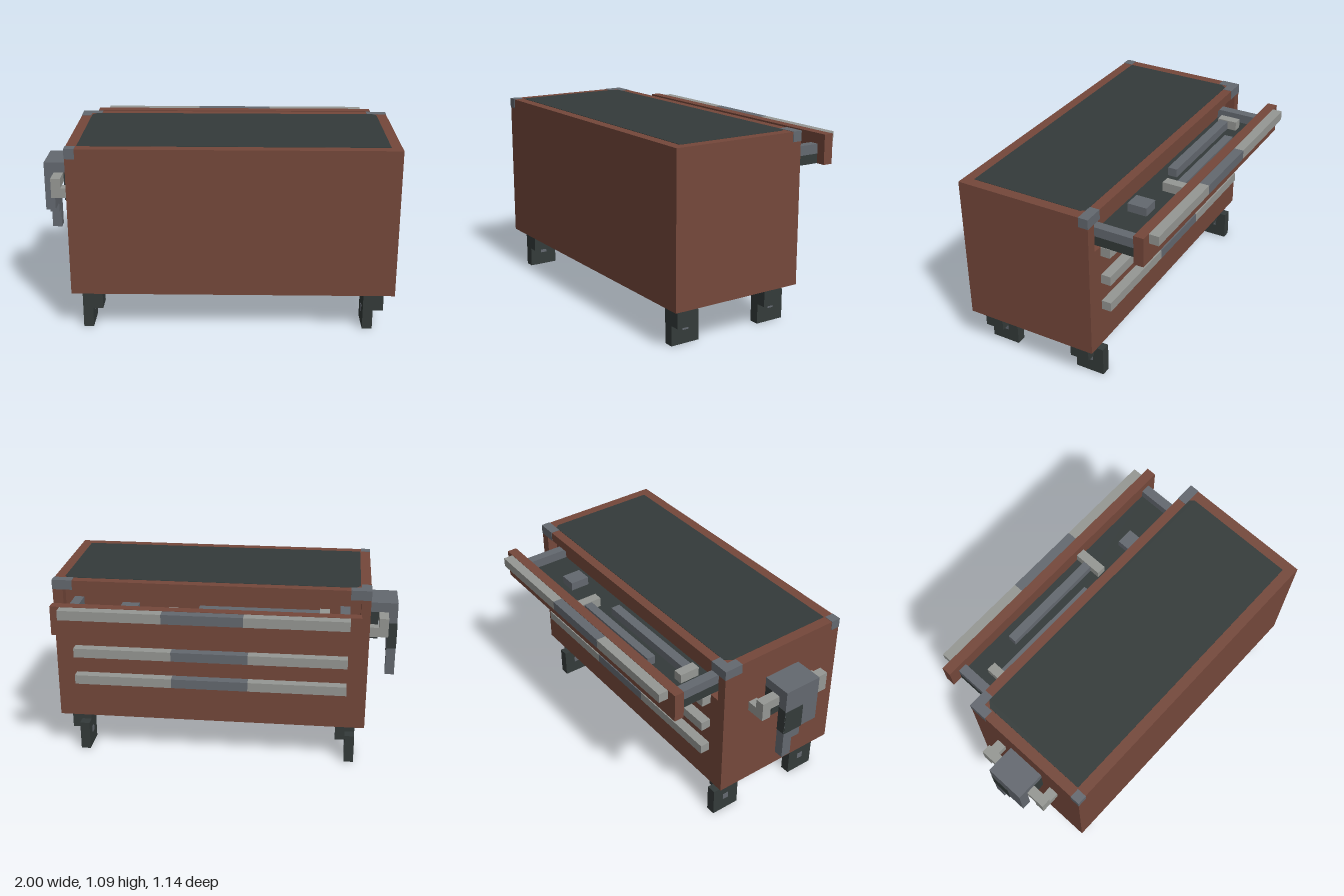
import * as THREE from 'three';

const material = (name, color) => {
  const m = new THREE.MeshStandardMaterial({ color });
  m.name = name;
  return m;
};

export function createModel() {
  const brown = material('brown paint', 0x75483b);
  const dark = material('dark rubber', 0x343b3a);
  const grey = material('steel grey', 0x646970);
  const light = material('light metal', 0x969894);
  const model = new THREE.Group();
  model.name = 'toolChest';

  const group = (name) => {
    const g = new THREE.Group();
    g.name = name;
    model.add(g);
    return g;
  };
  // Box given by its limits on each axis
  const box = (parent, name, mat, x0, x1, y0, y1, z0, z1) => {
    const mesh = new THREE.Mesh(new THREE.BoxGeometry(x1 - x0, y1 - y0, z1 - z0), mat);
    mesh.position.set((x0 + x1) / 2, (y0 + y1) / 2, (z0 + z1) / 2);
    mesh.name = name;
    parent.add(mesh);
    return mesh;
  };

  // Cabinet, with a shallow opening at the back for the top drawer
  const cabinet = group('cabinet');
  box(cabinet, 'mainBody', brown, -0.83, 1, 0.23, 1.085, -0.17, 0.57);
  box(cabinet, 'lowerBack', brown, -0.83, 1, 0.23, 0.86, -0.23, -0.17);
  box(cabinet, 'backLintel', brown, -0.83, 1, 1.03, 1.085, -0.23, -0.17);
  box(cabinet, 'rightPost', brown, -0.83, -0.775, 0.86, 1.03, -0.23, -0.17);
  box(cabinet, 'leftPost', brown, 0.94, 1, 0.86, 1.03, -0.23, -0.17);

  // Work mat with clipped rear corners
  const matShape = new THREE.Shape([
    [-0.77, -0.51], [0.94, -0.51], [0.94, 0.15], [0.92, 0.175], [-0.74, 0.175], [-0.77, 0.14],
  ].map(([x, y]) => new THREE.Vector2(x, y)));
  const topMat = new THREE.Mesh(
    new THREE.ExtrudeGeometry(matShape, { depth: 0.003, bevelEnabled: false }), dark);
  topMat.rotation.x = -Math.PI / 2;
  topMat.position.y = 1.084;
  topMat.name = 'topMat';
  cabinet.add(topMat);

  // Worn metal corners, slightly proud of the cabinet
  const e = 0.002;
  const corners = group('metalCorners');
  box(corners, 'backRightCorner', grey, -0.83 - e, -0.715, 1.03, 1.085 + e, -0.23 - e, -0.175);
  box(corners, 'backRightCornerSide', grey, -0.83 - e, -0.775, 1.03, 1.085 + e, -0.175, -0.12);
  box(corners, 'backLeftCorner', grey, 0.885, 1 + e, 1.03, 1.085 + e, -0.23 - e, -0.175);
  box(corners, 'frontRightCorner', grey, -0.83 - e, -0.775, 1.03, 1.085 + e, 0.515, 0.57 + e);

  // Handles in three tones: light ends, grey middle
  const handle = (name, y, z) => {
    const g = group(name);
    box(g, 'handleRightEnd', light, -0.715, -0.14, y, y + 0.055, z - 0.057, z);
    box(g, 'handleMiddle', grey, -0.14, 0.31, y, y + 0.055, z - 0.057, z);
    box(g, 'handleLeftEnd', light, 0.31, 0.885, y, y + 0.055, z - 0.057, z);
  };
  for (const y of [0.46, 0.63, 0.803]) handle('drawerHandle', y, -0.23);
  handle('openDrawerHandle', 0.973, -0.515);

  // Open drawer with tools
  const drawer = group('openDrawer');
  box(drawer, 'drawerFront', brown, -0.775, 0.94, 0.86, 1.03, -0.515, -0.457);
  box(drawer, 'drawerFloor', dark, -0.715, 0.885, 0.861, 0.915, -0.457, -0.17);
  for (const x of [-0.715, 0.83])
    box(drawer, 'drawerSide', grey, x, x + 0.055, 0.915, 0.97, -0.457, -0.17);
  const tools = group('tools');
  box(tools, 'firstToolShaft', grey, -0.375, 0.255, 0.915, 0.965, -0.4, -0.35);
  box(tools, 'firstToolHead', light, 0.255, 0.31, 0.915, 0.97, -0.457, -0.29);
  box(tools, 'secondToolShaft', grey, -0.545, 0.14, 0.915, 0.965, -0.29, -0.235);
  box(tools, 'secondToolHead', light, -0.6, -0.545, 0.915, 0.97, -0.345, -0.225);
  box(tools, 'toolBlock', grey, 0.49, 0.59, 0.915, 0.965, -0.34, -0.225);

  // Four casters
  for (const x of [-0.775, 0.83]) {
    for (const z of [-0.23, 0.345]) {
      const caster = group('caster');
      box(caster, 'casterMount', dark, x, x + 0.115, 0.115, 0.23, z + 0.06, z + 0.175);
      box(caster, 'casterWheel', dark, x, x + 0.057, 0, 0.172, z, z + 0.174);
      box(caster, 'wheelAxle', grey, x - 0.002, x + 0.06, 0.077, 0.115, z + 0.067, z + 0.105);
    }
  }

  // Towel rail on the right wall
  const rail = group('towelRail');
  box(rail, 'railBar', light, -0.945, -0.89, 0.803, 0.859, -0.06, 0.4);
  for (const z of [-0.06, 0.343]) {
    box(rail, 'railDrop', light, -0.945, -0.89, 0.745, 0.803, z, z + 0.057);
    box(rail, 'railArm', light, -0.89, -0.83, 0.745, 0.803, z, z + 0.057);
  }

  // Rag folded over the rail, with a ragged lower edge and an oil stain
  const rag = group('rag');
  box(rag, 'ragTop', grey, -1, -0.83, 0.859, 0.917, 0.055, 0.285);
  box(rag, 'ragInnerFlap', dark, -0.889, -0.83, 0.69, 0.859, 0.056, 0.284);
  [[0.055, 0.115, 0.46], [0.115, 0.17, 0.575], [0.17, 0.285, 0.632]].forEach(([z0, z1, y]) =>
    box(rag, 'ragOuterFlap', grey, -1, -0.945, y, 0.859, z0, z1));
  box(rag, 'ragStain', dark, -1.002, -0.997, 0.63, 0.78, 0.056, 0.18);
  box(rag, 'ragEdgeStain', dark, -1, -0.945, 0.63, 0.79, 0.053, 0.057);

  return model;
}
